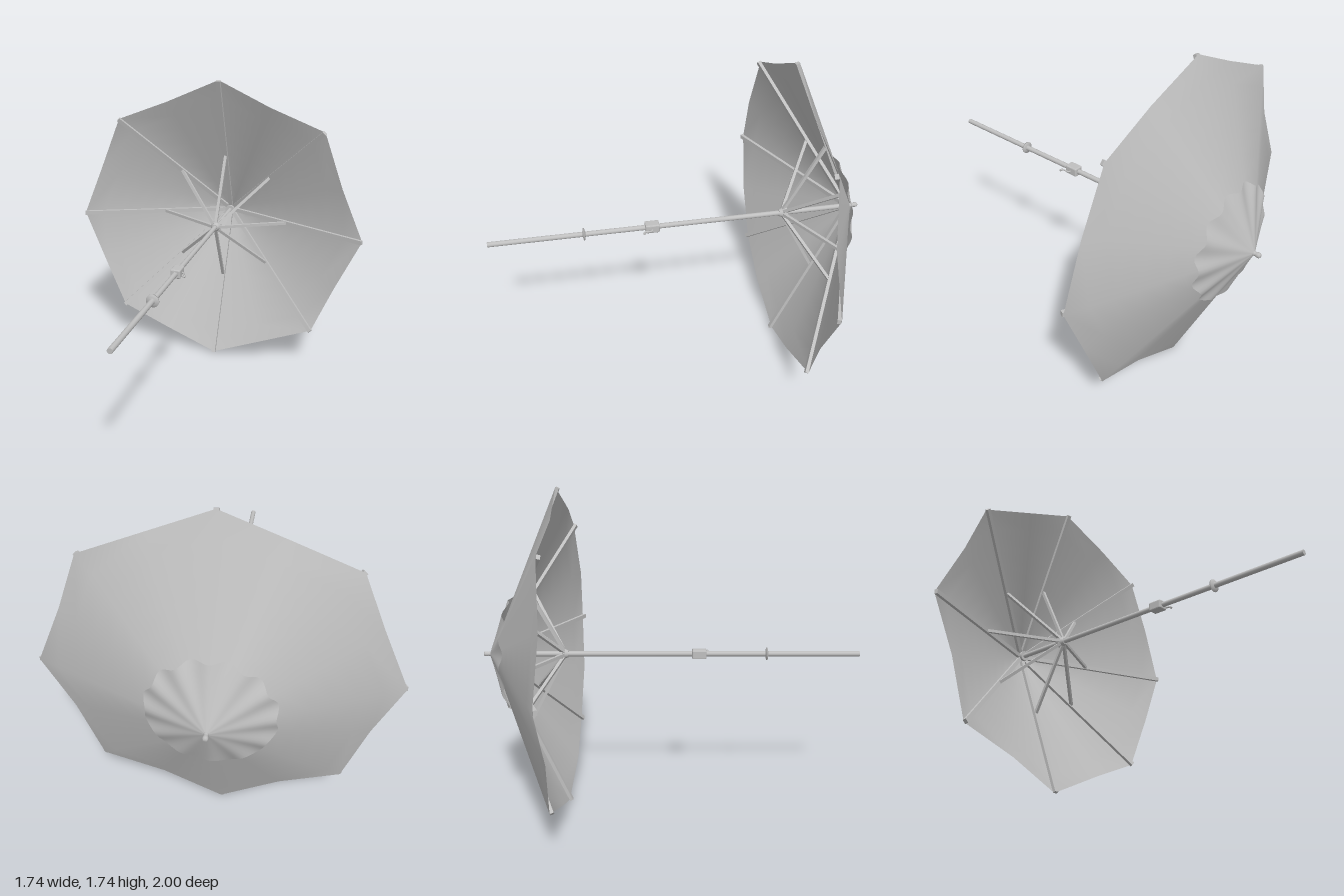
import * as THREE from 'three';

const metal = new THREE.MeshStandardMaterial({ color: 0xbfbfbf, side: THREE.DoubleSide });
metal.name = 'light grey';

const v = (x, y, z) => new THREE.Vector3(x, y, z);

function add(parent, name, geometry, x = 0, y = 0, z = 0) {
  const mesh = new THREE.Mesh(geometry, metal);
  mesh.name = name;
  mesh.position.set(x, y, z);
  parent.add(mesh);
  return mesh;
}

// Box-section bar in the arm's own plane, from (radius, height) to (radius, height)
function bar(parent, name, [r0, y0], [r1, y1], w, h) {
  const geometry = new THREE.BoxGeometry(w, h, Math.hypot(r1 - r0, y1 - y0));
  const mesh = add(parent, name, geometry, 0, (y0 + y1) / 2, (r0 + r1) / 2);
  mesh.rotation.x = -Math.atan2(y1 - y0, r1 - r0);
}

// Turned part from [radius, height] points
function lathe(parent, name, points, y = 0) {
  add(parent, name, new THREE.LatheGeometry(points.map(p => new THREE.Vector2(...p)), 20), 0, y);
}

// Closed sheet of rings around the pole; point(angle fraction, ring fraction) gives its shape
function sheet(around, rings, point) {
  const pos = [], index = [];
  for (let j = 0; j <= rings; j++) {
    for (let i = 0; i < around; i++) pos.push(...point(i / around, j / rings));
  }
  for (let j = 0; j < rings; j++) {
    for (let i = 0; i < around; i++) {
      const a = j * around + i, b = j * around + (i + 1) % around;
      index.push(a, a + around, b, b, a + around, b + around);
    }
  }
  const g = new THREE.BufferGeometry();
  g.setAttribute('position', new THREE.Float32BufferAttribute(pos, 3));
  g.setIndex(index);
  g.computeVertexNormals();
  return g;
}

// Eight panels between the ribs, each drooping along its middle line
function canopyPoint(u, ring) {
  const middle = Math.round(u * 16) % 2;
  const a = u * Math.PI * 2, f = 0.015 + 0.985 * ring;
  const r = (middle ? 0.793 : 0.866) * f;
  return [r * Math.sin(a), 0.96 - (middle ? 0.396 : 0.38) * f, r * Math.cos(a)];
}

// Small fluted cap over the top
function capPoint(u, ring) {
  const a = u * Math.PI * 2, f = 0.03 + 0.97 * ring, wave = Math.cos(12 * a) * f * f;
  const r = 0.297 * f - 0.008 * wave;
  return [r * Math.sin(a), 0.97 - 0.126 * f + 0.013 * wave, r * Math.cos(a)];
}

export function createModel() {
  const model = new THREE.Group();
  model.name = 'parasol';
  // Built upright, then laid down with the pole towards the front
  const body = new THREE.Group();
  body.name = 'parasolBody';
  body.rotation.x = -Math.PI / 2;
  body.position.y = 0.872;
  model.add(body);

  add(body, 'canopy', sheet(16, 8, canopyPoint));
  add(body, 'ventCap', sheet(96, 6, capPoint));

  // Pole, finial and hubs
  add(body, 'pole', new THREE.CylinderGeometry(0.0138, 0.0138, 1.95, 16), 0, -0.025);
  lathe(body, 'finial', [[0, 0.95], [0.012, 0.95], [0.012, 0.972], [0.009, 0.975], [0.013, 0.981],
    [0.013, 0.994], [0.009, 1], [0, 1]]);
  add(body, 'upperHub', new THREE.CylinderGeometry(0.03, 0.03, 0.03, 24), 0, 0.92);
  add(body, 'runnerHub', new THREE.CylinderGeometry(0.034, 0.034, 0.016, 24), 0, 0.585);
  add(body, 'runnerCollar', new THREE.CylinderGeometry(0.03, 0.018, 0.026, 24), 0, 0.564);

  // Ribs under the fabric, with struts up from the runner
  for (let i = 0; i < 8; i++) {
    const arm = new THREE.Group();
    arm.name = 'arm';
    arm.rotation.y = i * Math.PI / 4;
    body.add(arm);
    bar(arm, 'rib', [0.02, 0.934], [0.864, 0.568], 0.024, 0.018);
    bar(arm, 'strut', [0.022, 0.575], [0.392, 0.772], 0.017, 0.016);
  }

  // Crank housing with rounded corners, and its handle
  const s = new THREE.Shape();
  s.moveTo(-0.018, -0.038).lineTo(0.018, -0.038).quadraticCurveTo(0.027, -0.038, 0.027, -0.029)
    .lineTo(0.027, 0.029).quadraticCurveTo(0.027, 0.038, 0.018, 0.038)
    .lineTo(-0.018, 0.038).quadraticCurveTo(-0.027, 0.038, -0.027, 0.029)
    .lineTo(-0.027, -0.029).quadraticCurveTo(-0.027, -0.038, -0.018, -0.038);
  const housing = new THREE.ExtrudeGeometry(s, {
    depth: 0.034, bevelSize: 0.007, bevelThickness: 0.007, bevelOffset: -0.007, bevelSegments: 3,
  });
  add(body, 'crankHousing', housing, 0, -0.146, -0.017);
  const path = new THREE.CatmullRomCurve3([v(0.02, -0.148, 0), v(0.034, -0.148, 0),
    v(0.04, -0.156, 0), v(0.04, -0.182, 0), v(0.044, -0.192, 0), v(0.056, -0.193, 0)]);
  add(body, 'crankHandle', new THREE.TubeGeometry(path, 24, 0.0045, 8));
  const knob = add(body, 'crankKnob', new THREE.CylinderGeometry(0.006, 0.006, 0.012, 12), 0.052, -0.193);
  knob.rotation.z = Math.PI / 2;

  // Stop ring low on the pole, thicker towards the middle
  lathe(body, 'stopRing', [[0.014, -0.008], [0.019, -0.006], [0.033, -0.003],
    [0.033, 0.003], [0.019, 0.006], [0.014, 0.008]], -0.506);
  return model;
}
